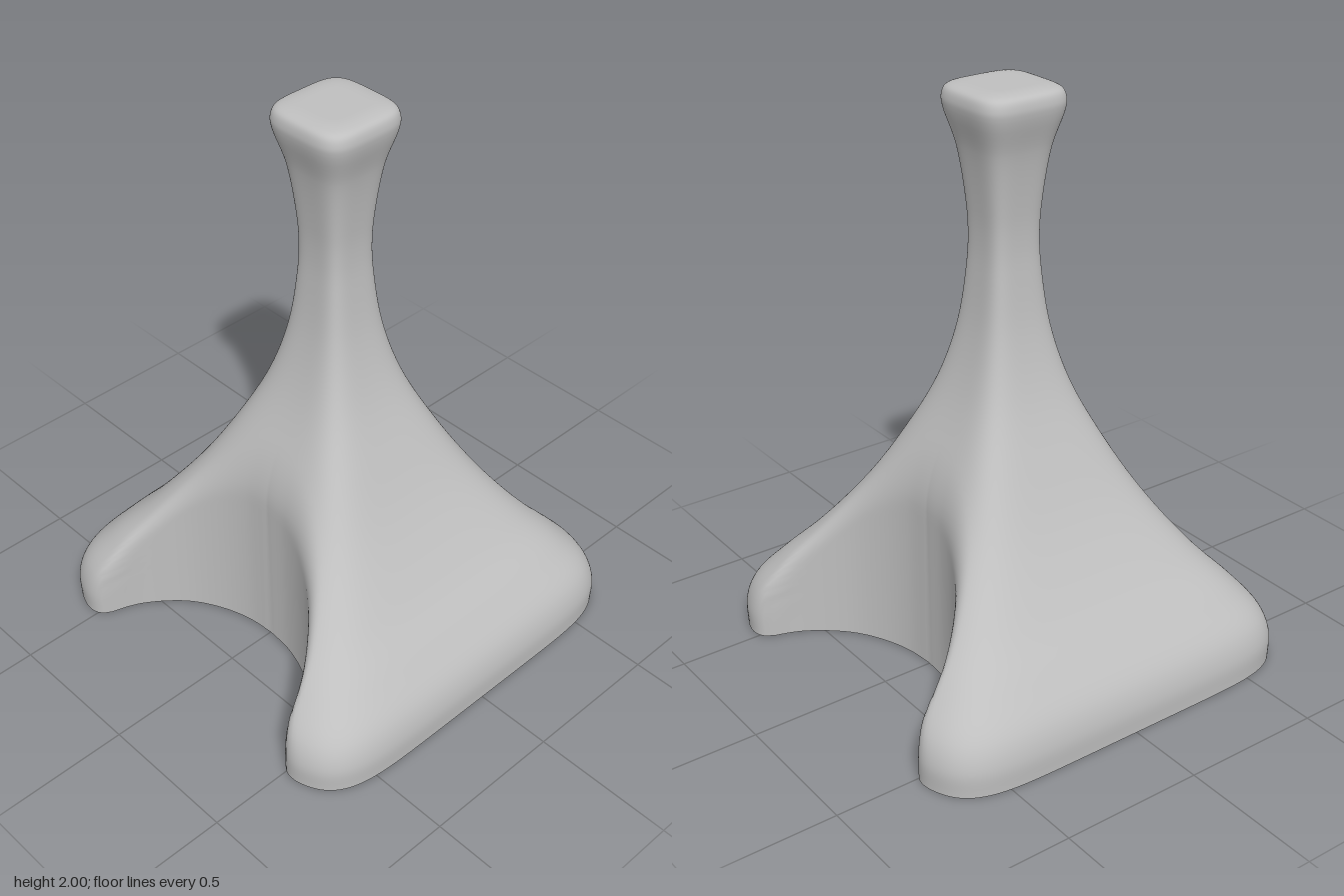
import * as THREE from 'three';

// Half width of the flared square body against height: [halfWidth, y]
const PROFILE = [
  [0.725, 0], [0.725, 0.09], [0.7, 0.17], [0.625, 0.27], [0.515, 0.4], [0.377, 0.6],
  [0.27, 0.8], [0.182, 1.0], [0.127, 1.2], [0.101, 1.4], [0.096, 1.5], [0.1, 1.6],
  [0.126, 1.8], [0.16, 1.92], [0.163, 1.955], [0.152, 1.985], [0.115, 1.998], [0, 2],
];

// Plan outline of the upright arch wall, one half: [x, z]
const ARCH = [
  [0, 0.318], [0.1, 0.328], [0.2, 0.359], [0.3, 0.414], [0.37, 0.48], [0.43, 0.563],
  [0.455, 0.62], [0.475, 0.68], [0.51, 0.725], [0.56, 0.76], [0.65, 0.82], [0.8, 0.9],
];

const spline = (pts) => new THREE.CatmullRomCurve3(pts.map(([a, b]) => new THREE.Vector3(a, b, 0)));
const archPoints = spline(ARCH).getPoints(220);

function archDepth(x) {
  let i = 1;
  while (i < archPoints.length - 1 && archPoints[i].x < x) i++;
  const a = archPoints[i - 1], b = archPoints[i];
  return a.y + (b.y - a.y) * THREE.MathUtils.clamp((x - a.x) / (b.x - a.x), 0, 1);
}

// Smooth minimum rounds the edge where the arch cuts the body
function softMin(a, b, k) {
  const h = Math.max(k - Math.abs(a - b), 0) / k;
  return Math.min(a, b) - h * h * k / 4;
}

function bodyGeometry() {
  const SEG = 360;
  const rows = spline(PROFILE).getPoints(102);
  const positions = [], index = [];
  rows.forEach(({ x: w, y }, r) => {
    // Rounded-square section, softer towards the top
    const n = THREE.MathUtils.lerp(6.8, 4.2, THREE.MathUtils.smoothstep(y, 0.1, 1.2));
    for (let s = 0; s < SEG; s++) {
      const t = (s / SEG) * Math.PI * 2;
      const c = Math.cos(t), d = Math.sin(t);
      const rad = Math.max(w, 0) / Math.pow(Math.abs(c) ** n + Math.abs(d) ** n, 1 / n);
      const x = rad * c;
      const z = softMin(Math.abs(rad * d), archDepth(Math.abs(x)), 0.06);
      positions.push(x, Math.min(y, 2), Math.sign(d) * z);
      if (r < rows.length - 1) {
        const a = r * SEG + s, b = r * SEG + (s + 1) % SEG;
        index.push(a, a + SEG, b, b, a + SEG, b + SEG);
      }
    }
  });
  const g = new THREE.BufferGeometry();
  g.setAttribute('position', new THREE.Float32BufferAttribute(positions, 3));
  g.setIndex(index);
  g.computeVertexNormals();
  return g;
}

export function createModel() {
  const grey = new THREE.MeshStandardMaterial({ color: 0xbfbfbf, side: THREE.DoubleSide });
  grey.name = 'plain grey';
  const group = new THREE.Group();
  group.name = 'archedPedestal';
  // Hollow shell, open underneath
  const body = new THREE.Mesh(bodyGeometry(), grey);
  body.name = 'pedestalShell';
  group.add(body);
  return group;
}
